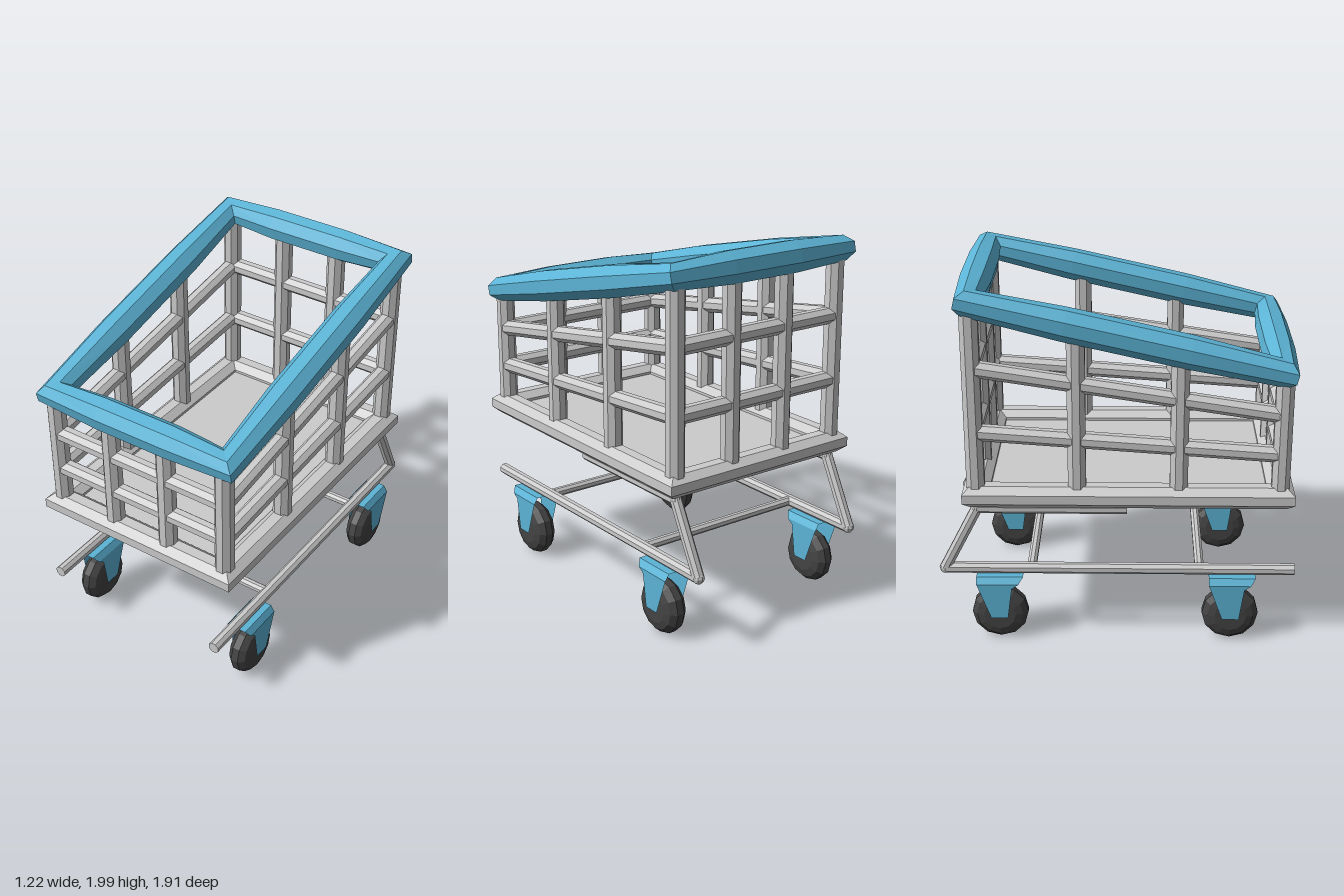
import * as THREE from 'three';

const mat = (color, side = THREE.FrontSide) =>
  new THREE.MeshStandardMaterial({ color, flatShading: true, side });
const V = (x, y, z) => new THREE.Vector3(x, y, z);

export function createModel() {
  const metal = mat(0xcccccc);
  const blue = mat(0x5cb4d6);
  const sheet = mat(0x5cb4d6, THREE.DoubleSide);
  const rubber = mat(0x444444);
  const cart = new THREE.Group();
  cart.name = 'shoppingCart';

  const add = (parent, name, geometry, material) => {
    const mesh = new THREE.Mesh(geometry, material);
    mesh.name = name;
    parent.add(mesh);
    return mesh;
  };
  const group = (name, parent = cart) => {
    const g = new THREE.Group();
    g.name = name;
    parent.add(g);
    return g;
  };

  // Straight octagonal bar between two points, r = half its width across flats
  const bar = (parent, name, a, b, r) => {
    const R = r / Math.cos(Math.PI / 8);
    const geo = new THREE.CylinderGeometry(R, R, a.distanceTo(b), 8, 1, false, Math.PI / 8);
    const mesh = add(parent, name, geo, metal);
    mesh.position.copy(a).add(b).multiplyScalar(0.5);
    mesh.quaternion.setFromUnitVectors(V(0, 1, 0), b.clone().sub(a).normalize());
    return mesh;
  };

  // Closed rectangular frame of mitred octagonal bars, slightly thicker mid-bar
  const frameGeometry = (halfX, front, back, rEnd, rMid, flatten) => {
    const centre = front.clone().add(back).multiplyScalar(0.5);
    const dir = front.clone().sub(back).normalize();
    const normal = V(0, dir.z, -dir.y);
    const halfS = front.distanceTo(back) / 2;
    const corners = [[1, 1], [-1, 1], [-1, -1], [1, -1]];
    const pos = [], index = [];
    corners.forEach((c, j) => {
      const n = corners[(j + 1) % 4];
      const out = [(c[0] + n[0]) / 2, (c[1] + n[1]) / 2];
      const base = pos.length / 3;
      [0, 0.3, 0.7, 1].forEach((t, i) => {
        const end = i === 0 ? c : i === 3 ? n : out;
        const R = (i % 3 ? rMid : rEnd) / Math.cos(Math.PI / 8);
        for (let k = 0; k < 8; k++) {
          const ang = (k + 0.5) * Math.PI / 4;
          const a = R * Math.cos(ang), b = R * Math.sin(ang) * flatten;
          const x = halfX * (c[0] + (n[0] - c[0]) * t) + a * end[0];
          const s = halfS * (c[1] + (n[1] - c[1]) * t) + a * end[1];
          const p = centre.clone().addScaledVector(dir, s).addScaledVector(normal, b);
          pos.push(p.x + x, p.y, p.z);
          if (i < 3) {
            const p0 = base + i * 8 + k, p1 = base + i * 8 + (k + 1) % 8;
            index.push(p0, p1, p1 + 8, p0, p1 + 8, p0 + 8);
          }
        }
      });
    });
    const geo = new THREE.BufferGeometry();
    geo.setAttribute('position', new THREE.Float32BufferAttribute(pos, 3));
    geo.setIndex(index);
    geo.computeVertexNormals();
    return geo;
  };

  // Basket: rim, base frame and floor
  const X = 0.52, ZF = 0.86, ZB = -0.73;
  const basket = group('basket');
  add(basket, 'rim', frameGeometry(0.53, V(0, 1.552, 0.85), V(0, 1.912, ZB), 0.066, 0.082, 1), blue);
  add(basket, 'baseFrame', frameGeometry(0.525, V(0, 0.86, 0.865), V(0, 0.86, ZB), 0.07, 0.07, 0.86), metal);
  const floor = add(basket, 'floor', new THREE.BoxGeometry(1.02, 0.02, 1.57), metal);
  floor.position.set(0, 0.86, (ZF + ZB) / 2);

  // Upright posts, reaching up into the sloping rim
  const rimY = z => 1.55 + (ZF - z) * 0.2264;
  const post = (name, x, z) => bar(basket, name, V(x, 0.86, z), V(x, rimY(z) - 0.01, z), 0.047);
  for (const x of [-X, X]) {
    post('cornerPost', x, ZF);
    post('cornerPost', x, ZB);
    for (const z of [0.33, -0.2]) post('sidePost', x, z);
  }
  for (const x of [-0.17, 0.17]) {
    post('frontPost', x, ZF);
    post('backPost', x, ZB);
  }

  // Two levels of rails around the basket, rising towards the back
  for (const [yF, yB] of [[1.1, 1.215], [1.32, 1.565]]) {
    for (const x of [-X, X]) bar(basket, 'sideRail', V(x, yF, ZF), V(x, yB, ZB), 0.042);
    bar(basket, 'frontRail', V(-X, yF, ZF), V(X, yF, ZF), 0.042);
    bar(basket, 'backRail', V(-X, yB, ZB), V(X, yB, ZB), 0.042);
  }

  // Undercarriage: one bent tube each side, joined by cross bars
  const under = group('undercarriage');
  const TX = 0.515;
  for (const x of [-TX, TX]) {
    const path = [V(x, 0.42, 0.96), V(x, 0.42, -0.915), V(x, 0.78, -0.73), V(x, 0.78, 0.06)];
    for (let i = 0; i < 3; i++) bar(under, 'bentTube', path[i], path[i + 1], 0.029);
    for (const p of path.slice(1, 3)) {
      add(under, 'tubeBend', new THREE.SphereGeometry(0.032, 8, 6), metal).position.copy(p);
    }
  }
  for (const z of [0.45, -0.45]) bar(under, 'crossBar', V(-TX, 0.42, z), V(TX, 0.42, z), 0.024);

  // Caster fork: folded sheet, each row is x, y, back z, front z
  const half = [[0.078, 0.15, -0.045, 0.045], [0.078, 0.33, -0.11, 0.07],
    [0.078, 0.355, -0.12, 0.105], [0.055, 0.39, -0.12, 0.13]];
  const rows = [...half, ...half.map(([x, ...r]) => [-x, ...r]).reverse()];
  const forkPos = [], forkIdx = [];
  rows.forEach(([x, y, zb, zf], i) => {
    forkPos.push(x, y, zb, x, y, zf);
    const k = i * 2;
    if (i < rows.length - 1) forkIdx.push(k, k + 2, k + 1, k + 1, k + 2, k + 3);
  });
  const forkGeo = new THREE.BufferGeometry();
  forkGeo.setAttribute('position', new THREE.Float32BufferAttribute(forkPos, 3));
  forkGeo.setIndex(forkIdx);
  forkGeo.computeVertexNormals();

  // Wheel: rounded tyre profile turned about its axle
  const profile = [[0, -0.062], [0.085, -0.062], [0.125, -0.05], [0.152, -0.02],
    [0.152, 0.02], [0.125, 0.05], [0.085, 0.062], [0, 0.062]];
  const wheelGeo = new THREE.LatheGeometry(profile.map(p => new THREE.Vector2(...p)), 12);
  wheelGeo.rotateZ(Math.PI / 2);

  for (const x of [-TX, TX]) {
    for (const z of [0.62, -0.625]) {
      const caster = group('caster');
      caster.position.set(x, 0, z);
      add(caster, 'fork', forkGeo, sheet);
      add(caster, 'wheel', wheelGeo, rubber).position.y = 0.16;
      const axle = add(caster, 'axle', new THREE.CylinderGeometry(0.015, 0.015, 0.154, 8), metal);
      axle.rotation.z = Math.PI / 2;
      axle.position.y = 0.17;
    }
  }

  // Stand exactly on the ground, centred
  const box = new THREE.Box3().setFromObject(cart);
  const c = box.getCenter(V(0, 0, 0));
  cart.position.set(-c.x, -box.min.y, -c.z);
  return cart;
}
